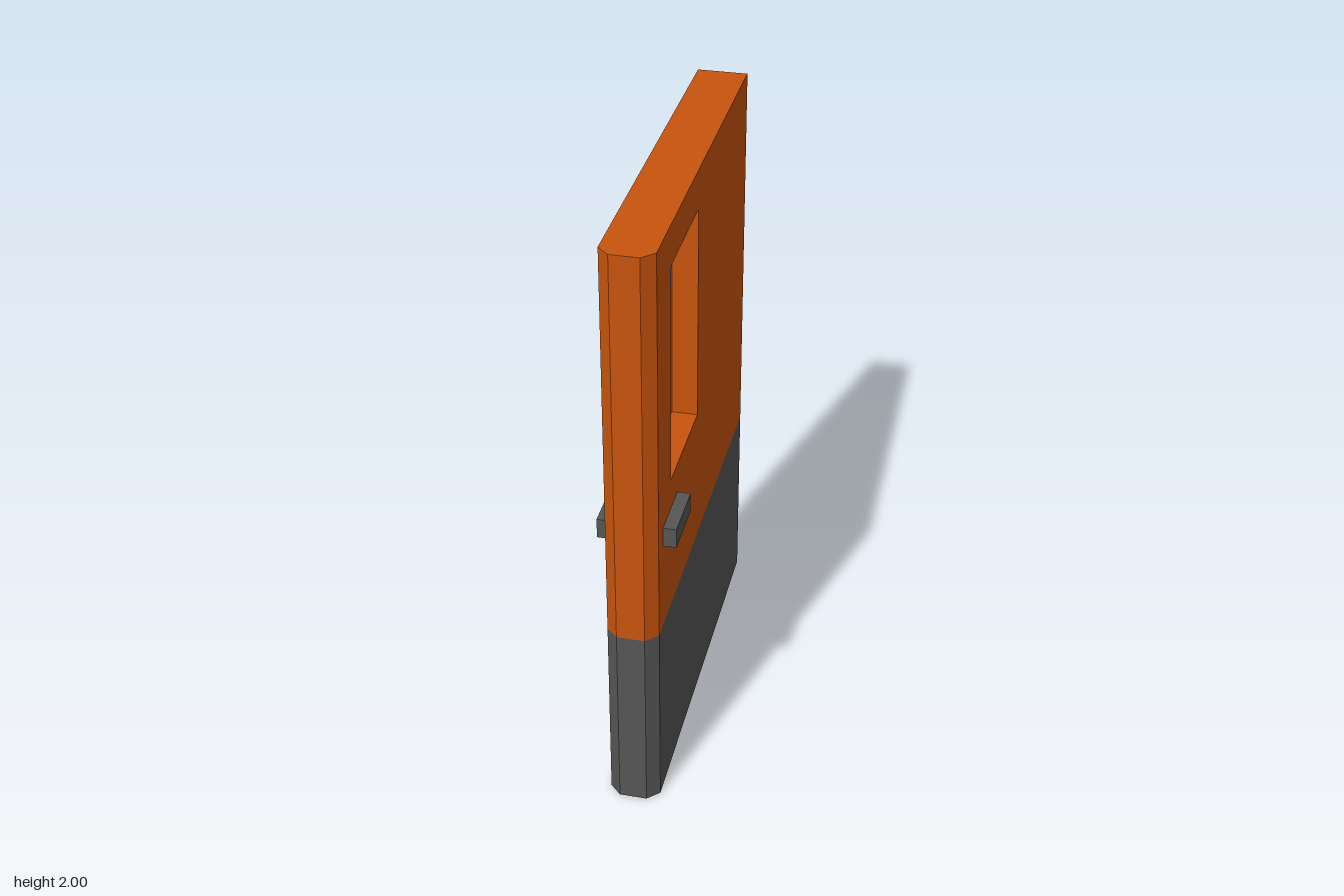
import * as THREE from 'three';

const W = 0.083, L = 0.667, H = 2;        // half thickness, half width, height
const SPLIT = 0.665;                      // top of the kick plate
const CW = 0.045, CZ = 0.63;              // chamfer of the front edge
const WIN = { y0: 1.14, y1: 1.87, z0: 0.085, z1: 0.46 };

const orange = new THREE.MeshStandardMaterial({ color: 0xc8540d });
const grey = new THREE.MeshStandardMaterial({ color: 0x565656 });
const blue = new THREE.MeshStandardMaterial({ color: 0x6f7fbf });

// Upright flat walls along a path of [x, z] points
function walls(points, y0, y1) {
  const pos = [];
  for (let i = 0; i < points.length - 1; i++) {
    const [ax, az] = points[i], [bx, bz] = points[i + 1];
    pos.push(ax, y0, az, bx, y0, bz, bx, y1, bz);
    pos.push(ax, y0, az, bx, y1, bz, ax, y1, az);
  }
  const g = new THREE.BufferGeometry();
  g.setAttribute('position', new THREE.Float32BufferAttribute(pos, 3));
  g.computeVertexNormals();
  return g;
}

const rect = (u0, u1, v0, v1) =>
  [[u0, v0], [u1, v0], [u1, v1], [u0, v1]].map(([u, v]) => new THREE.Vector2(u, v));

export function createModel() {
  const door = new THREE.Group();
  door.name = 'door';
  const add = (name, geometry, material, parent = door) => {
    const m = new THREE.Mesh(geometry, material);
    m.name = name;
    parent.add(m);
    return m;
  };

  // Door outline seen from above, chamfered at the front
  const outline = [[-W, -L], [-W, CZ], [-CW, L], [CW, L], [W, CZ], [W, -L]];

  // Kick plate around the lower third
  add('kickPlate', walls([...outline, outline[0]], 0, SPLIT), grey);

  // Upper panel: edges, two faces with a window opening, top and bottom
  const panel = new THREE.Group();
  panel.name = 'doorPanel';
  door.add(panel);
  add('frontEdge', walls(outline.slice(1, 5), SPLIT, H), orange, panel);
  add('backEdge', walls([outline[5], outline[0]], SPLIT, H), orange, panel);
  for (const s of [1, -1]) {
    const face = new THREE.Shape(rect(-s * CZ, s * L, SPLIT, H));
    face.holes.push(new THREE.Path(rect(-s * WIN.z1, -s * WIN.z0, WIN.y0, WIN.y1)));
    const faceGeo = new THREE.ShapeGeometry(face).rotateY(s * Math.PI / 2).translate(s * W, 0, 0);
    add(s > 0 ? 'leftFace' : 'rightFace', faceGeo, orange, panel);

    const cap = new THREE.Shape(outline.map(([x, z]) => new THREE.Vector2(x, -s * z)));
    const capGeo = new THREE.ShapeGeometry(cap).rotateX(-s * Math.PI / 2).translate(0, s > 0 ? H : 0, 0);
    add(s > 0 ? 'topEdge' : 'bottomEdge', capGeo, orange, panel);
  }

  // Inner sides of the window opening, facing inwards
  const { y0, y1, z0, z1 } = WIN;
  const reveal = walls([[-y0, z1], [-y1, z1], [-y1, z0], [-y0, z0], [-y0, z1]], -W, W);
  add('windowReveal', reveal.rotateZ(-Math.PI / 2), orange, panel);

  // Window pane in the middle of the opening
  const pane = add('windowPane', new THREE.BoxGeometry(0.016, y1 - y0, z1 - z0), blue);
  pane.position.set(-0.008, (y0 + y1) / 2, (z0 + z1) / 2);

  // One block handle on each face
  for (const s of [1, -1]) {
    const handle = add(s > 0 ? 'leftHandle' : 'rightHandle', new THREE.BoxGeometry(0.042, 0.067, 0.198), grey);
    handle.position.set(s * (W + 0.021), 1.002, 0.473);
  }
  return door;
}
